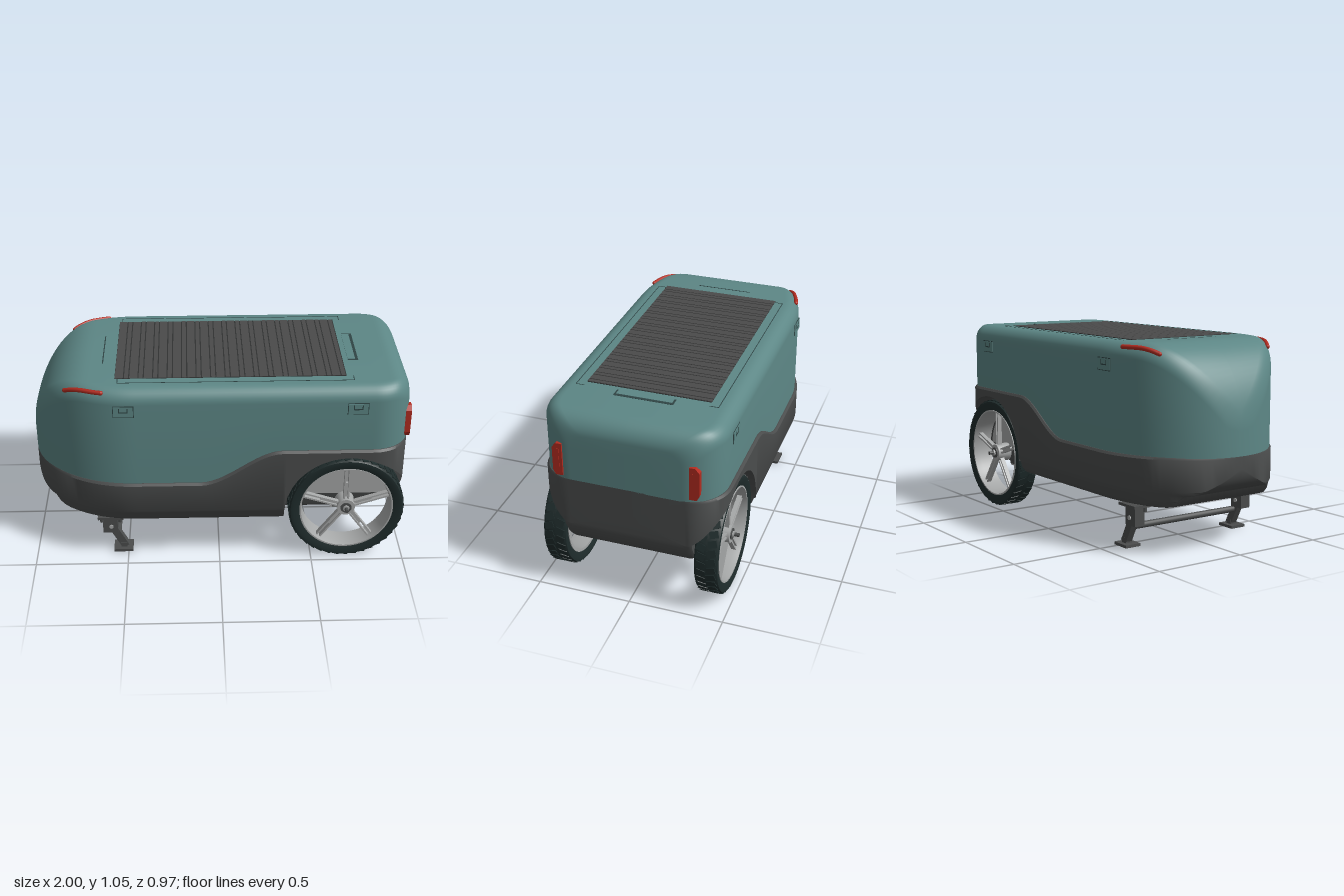
import * as THREE from 'three';
import { toCreasedNormals } from 'three/addons/utils/BufferGeometryUtils.js';

const mat = (name, color, side = THREE.FrontSide) => {
  const m = new THREE.MeshStandardMaterial({ color, side });
  m.name = name;
  return m;
};

// Quarter-ellipse falloff: 1 at t <= 0, 0 at t = 1
const round = (t) => Math.sqrt(Math.max(0, 1 - Math.max(0, t) ** 2));
const smooth = (t) => { t = Math.min(1, Math.max(0, t)); return t * t * (3 - 2 * t); };

const TAIL = 0.995, WX = 0.68, WY = 0.31, WELL = 0.335;
// Half-width in plan, seam height, lid top and tub bottom along x
const width = (x, w) => x < 0 ? w * round((-0.45 - x) / 0.55) : w - 0.18 * (1 - round((x - 0.8) / (TAIL - 0.8)));
const seam = (x) => 0.5 + 0.19 * smooth((x + 0.1) / 0.43);
const lidTop = (x) => x < 0 ? 0.62 + 0.43 * round((-0.68 - x) / 0.32) : 0.95 + 0.1 * round((x - 0.89) / (TAIL - 0.89));
const tubBottom = (x) => {
  if (x < -0.88) return 0.305 + 0.13 * (1 - round((-0.88 - x) / 0.12));
  if (x < 0) return 0.235 + 0.07 * (1 - round((-0.76 - x) / 0.12));
  return 0.235 + 0.2 * (1 - round((x - 0.74) / (TAIL - 0.74)));
};

// Skin a list of closed rings ordered along +x, with fan caps
function loft(rings, crease = 0.6) {
  const pos = [], n = rings[0].length;
  const tri = (...p) => p.forEach((v) => pos.push(...v));
  const centre = (r) => [r[0][0], r.reduce((s, p) => s + p[1], 0) / n, 0];
  for (let i = 0; i < rings.length - 1; i++) {
    for (let j = 0; j < n; j++) {
      const k = (j + 1) % n, a = rings[i], b = rings[i + 1];
      tri(a[j], a[k], b[k]);
      tri(a[j], b[k], b[j]);
    }
  }
  const first = rings[0], last = rings[rings.length - 1];
  for (let j = 0; j < n; j++) {
    const k = (j + 1) % n;
    tri(centre(first), first[k], first[j]);
    tri(centre(last), last[j], last[k]);
  }
  const g = new THREE.BufferGeometry();
  g.setAttribute('position', new THREE.Float32BufferAttribute(pos, 3));
  return toCreasedNormals(g, crease);
}

// Mirror half a section, given as [z, y] from top to bottom, into a ring
const ring = (x, half) => [
  ...half.map(([z, y]) => [x, y, z]),
  ...half.slice().reverse().map(([z, y]) => [x, y, -z]),
];

// Stations along x, packed closely at the rounded ends
function stations() {
  const xs = [];
  for (let i = 0; i <= 24; i++) xs.push(-0.45 - 0.5499 * Math.cos((i / 24) * Math.PI / 2));
  for (let i = 1; i < 50; i++) xs.push(-0.45 + (1.19 * i) / 50);
  for (let i = 0; i <= 22; i++) xs.push(0.74 + (TAIL - 0.74) * Math.sin((i / 22) * Math.PI / 2));
  return xs;
}

function lidRing(x) {
  const w = width(x, 0.465), top = lidTop(x), r = Math.min(0.08, w), half = [[0.0005 * w, top]];
  for (let i = 0; i <= 8; i++) {
    const a = (i / 8) * Math.PI / 2;
    half.push([w - r + r * Math.sin(a), top - r + r * Math.cos(a)]);
  }
  half.push([w, seam(x) - 0.004], [0, seam(x) - 0.004]);
  return ring(x, half);
}

function tubRing(x, arch) {
  const w = width(x, 0.48), t = seam(x), b = tubBottom(x);
  const a = WY + Math.sqrt(Math.max(0, 0.335 ** 2 - (x - WX) ** 2));
  const low = (z, y) => [Math.max(0, z), Math.max(b, y)];
  const wi = Math.min(WELL, w);
  const lower = arch
    ? [[w, a], [wi, a], [wi, Math.min(a, b + 0.03)], low(wi - 0.01, b + 0.01), [wi - 0.03, b]]
    : [low(w, 0.33), low(w - 0.012, 0.312), low(w - 0.022, 0.28), low(w - 0.045, 0.25), low(w - 0.09, b)];
  return ring(x, [[0, t], [Math.max(0, w - 0.01), t], [w, t - 0.012], ...lower, [0, b]]);
}

export function createModel() {
  const M = {
    teal: mat('teal shell', 0x5d8786),
    seam: mat('dark teal seam', 0x2f4444),
    tub: mat('charcoal', 0x4b4d4d),
    panel: mat('panel grey', 0x4a4a4a),
    black: mat('panel gap', 0x303232),
    tire: mat('tyre rubber', 0x1f2c2c, THREE.DoubleSide),
    metal: mat('light metal', 0xa6a8a8, THREE.DoubleSide),
    red: mat('red lamp', 0xb32c20),
  };
  const model = new THREE.Group();
  const add = (parent, name, geo, m, x = 0, y = 0, z = 0) => {
    const mesh = new THREE.Mesh(geo, m);
    mesh.name = name;
    mesh.position.set(x, y, z);
    parent.add(mesh);
    return mesh;
  };
  const box = (parent, name, m, w, h, d, x, y, z) => add(parent, name, new THREE.BoxGeometry(w, h, d), m, x, y, z);
  const disc = (r0, r1, h, n = 24) => new THREE.CylinderGeometry(r0, r1, h, n).rotateX(Math.PI / 2);

  // Body shells
  const xs = stations(), edge = WX - 0.335;
  add(model, 'lid', loft(xs.map(lidRing)), M.teal);
  add(model, 'tub', loft([
    ...xs.filter((x) => x < edge).map((x) => tubRing(x, false)), tubRing(edge, false),
    tubRing(edge + 0.0001, true), tubRing(edge + 0.004, true),
    ...xs.filter((x) => x > edge + 0.004).map((x) => tubRing(x, true)),
  ]), M.tub);

  // Slatted roof panel
  const roof = new THREE.Group();
  roof.name = 'roofPanel';
  model.add(roof);
  box(roof, 'panelBase', M.black, 1.19, 0.004, 0.65, 0.06, 1.05, 0);
  for (let i = 0; i < 16; i++) {
    const p = 1.19 / 16;
    box(roof, 'slat', M.panel, p * 0.56, 0.006, 0.65, -0.535 + p * (i + 0.3), 1.051, 0);
    box(roof, 'narrowSlat', M.panel, p * 0.28, 0.006, 0.65, -0.535 + p * (i + 0.8), 1.051, 0);
  }
  // Hatch seam, rear grip and front slot
  for (const s of [-1, 1]) {
    box(roof, 'hatchSeamSide', M.seam, 1.21, 0.003, 0.004, 0.085, 1.0495, s * 0.37);
    for (const x of [-0.52, 0.69]) box(roof, 'hatchSeamEnd', M.seam, 0.004, 0.003, 0.045, x, 1.0495, s * 0.348);
  }
  box(roof, 'gripRecess', M.seam, 0.055, 0.003, 0.31, 0.71, 1.0495, 0);
  box(roof, 'grip', M.teal, 0.04, 0.005, 0.29, 0.702, 1.0505, 0);
  box(roof, 'frontSlot', M.seam, 0.006, 0.003, 0.31, -0.605, 1.0495, 0);

  for (const s of [-1, 1]) {
    // Side latches
    for (const x of [-0.49, 0.705]) {
      const latch = new THREE.Group();
      latch.name = 'latch';
      latch.position.set(x, 0.935, s * 0.465);
      model.add(latch);
      box(latch, 'latchShadow', M.seam, 0.108, 0.066, 0.004, 0, 0, 0);
      box(latch, 'latchPlate', M.teal, 0.1, 0.058, 0.009, 0, 0, 0);
      box(latch, 'latchSlot', M.seam, 0.045, 0.006, 0.012, 0, -0.002, 0);
      for (const e of [-1, 1]) box(latch, 'latchNotch', M.seam, 0.005, 0.025, 0.012, e * 0.022, 0.01, 0);
    }
    // Nose lamps follow the rounded upper edge
    const path = [];
    for (let i = 0; i <= 8; i++) {
      const x = -0.79 + i * 0.0237;
      path.push(new THREE.Vector3(x, lidTop(x) - 0.023, s * (width(x, 0.465) - 0.018)));
    }
    add(model, 'noseLamp', new THREE.TubeGeometry(new THREE.CatmullRomCurve3(path), 24, 0.012, 8), M.red);
    for (const p of [path[0], path[8]]) add(model, 'noseLampEnd', new THREE.SphereGeometry(0.012, 10, 8), M.red, p.x, p.y, p.z);

    // Tail lamps, chamfered on the outer side
    const lamp = new THREE.Shape([[-0.025, -0.09], [0.012, -0.09], [0.025, -0.065], [0.025, 0.065], [0.005, 0.09], [-0.025, 0.09]]
      .map(([u, v]) => new THREE.Vector2(-s * u, v)));
    const lampGeo = new THREE.ExtrudeGeometry(lamp, { depth: 0.03, bevelEnabled: false }).rotateY(Math.PI / 2);
    add(model, 'tailLamp', lampGeo, M.red, 0.97, 0.8, s * 0.35);
    box(model, 'tailLampRidge', M.red, 0.006, 0.12, 0.01, 1.0, 0.8, s * 0.345);

    // Wheel well liner
    const a0 = 0.085;
    const liner = new THREE.Shape();
    liner.absarc(0, 0, 0.235, a0, Math.PI - a0, false);
    add(model, 'wellLiner', new THREE.ShapeGeometry(liner, 32), M.metal, WX, WY, s * (WELL + 0.002));

    // Mounting plate with bolts under the tub
    box(model, 'mountPlate', M.metal, 0.13, 0.014, 0.09, WX, 0.219, s * 0.26);
    box(model, 'mountTab', M.tub, 0.11, 0.016, 0.03, WX, 0.232, s * 0.3);
    for (const e of [-1, 1]) add(model, 'mountBolt', new THREE.CylinderGeometry(0.012, 0.012, 0.045, 6), M.tub, WX + e * 0.045, 0.213, s * 0.262);

    // Wheel
    const wheel = new THREE.Group();
    wheel.name = 'wheel';
    wheel.position.set(WX, WY, s * 0.402);
    wheel.rotation.y = s > 0 ? 0 : Math.PI;
    model.add(wheel);
    const lathe = (pts) => toCreasedNormals(
      new THREE.LatheGeometry(pts.map(([r, z]) => new THREE.Vector2(r, z)), 64).rotateX(Math.PI / 2).toNonIndexed(), 0.7);
    add(wheel, 'tyre', lathe([[0.25, -0.05], [0.285, -0.062], [0.3, -0.06], [0.307, -0.05], [0.307, 0.05],
      [0.3, 0.06], [0.285, 0.062], [0.25, 0.05], [0.25, -0.05]]), M.tire);
    add(wheel, 'rim', lathe([[0.236, -0.055], [0.252, -0.055], [0.252, 0.055], [0.244, 0.055], [0.236, 0.02], [0.236, -0.055]]), M.metal);
    for (let i = 0; i < 40; i++) {
      for (const e of [-1, 1]) {
        const turn = new THREE.Group();
        turn.name = 'tread';
        turn.rotation.z = ((i + e * 0.25) / 40) * Math.PI * 2;
        wheel.add(turn);
        box(turn, 'treadBlock', M.tire, 0.036, 0.006, 0.046, 0, 0.307, e * 0.028).rotation.y = e * 0.3;
      }
    }
    for (let i = 0; i < 5; i++) {
      const spoke = new THREE.Group();
      spoke.name = 'spoke';
      spoke.rotation.z = (i / 5) * Math.PI * 2;
      wheel.add(spoke);
      for (const e of [-1, 1]) box(spoke, 'spokeRail', M.metal, 0.009, 0.2, 0.025, e * 0.011, 0.143, 0.02);
      box(spoke, 'spokeWeb', M.metal, 0.02, 0.09, 0.014, 0, 0.1, 0.016);
    }
    add(wheel, 'hub', disc(0.048, 0.052, 0.08), M.metal, 0, 0, 0.005);
    add(wheel, 'hubRing', disc(0.03, 0.03, 0.01), M.tub, 0, 0, 0.045);
    add(wheel, 'axleCap', disc(0.018, 0.018, 0.02, 6), M.metal, 0, 0, 0.05);
    add(wheel, 'axle', disc(0.01, 0.01, 0.16, 12), M.tub, 0, 0, 0.005);

    // Folding stand
    const leg = new THREE.Group();
    leg.name = 'standLeg';
    leg.position.set(-0.58, 0, s * 0.35);
    model.add(leg);
    box(leg, 'standPlate', M.tub, 0.14, 0.014, 0.1, -0.01, 0.225, 0);
    for (const bx of [-0.06, 0.04]) add(leg, 'standBolt', new THREE.CylinderGeometry(0.01, 0.01, 0.03, 6), M.tub, bx, 0.208, 0.03);
    box(leg, 'standBracket', M.tub, 0.08, 0.1, 0.06, -0.015, 0.17, 0);
    box(leg, 'standStrut', M.tub, 0.042, 0.17, 0.036, 0.025, 0.092, 0).rotation.z = 0.48;
    add(leg, 'standPivot', disc(0.012, 0.012, 0.07, 12), M.metal, -0.01, 0.16, 0);
    box(leg, 'standAnkle', M.tub, 0.035, 0.035, 0.04, 0.055, 0.025, 0);
    box(leg, 'standFoot', M.tub, 0.105, 0.015, 0.09, 0.052, 0.0075, 0);
  }
  add(model, 'standBar', disc(0.017, 0.017, 0.7, 16), M.tub, -0.555, 0.103, 0);
  return model;
}
